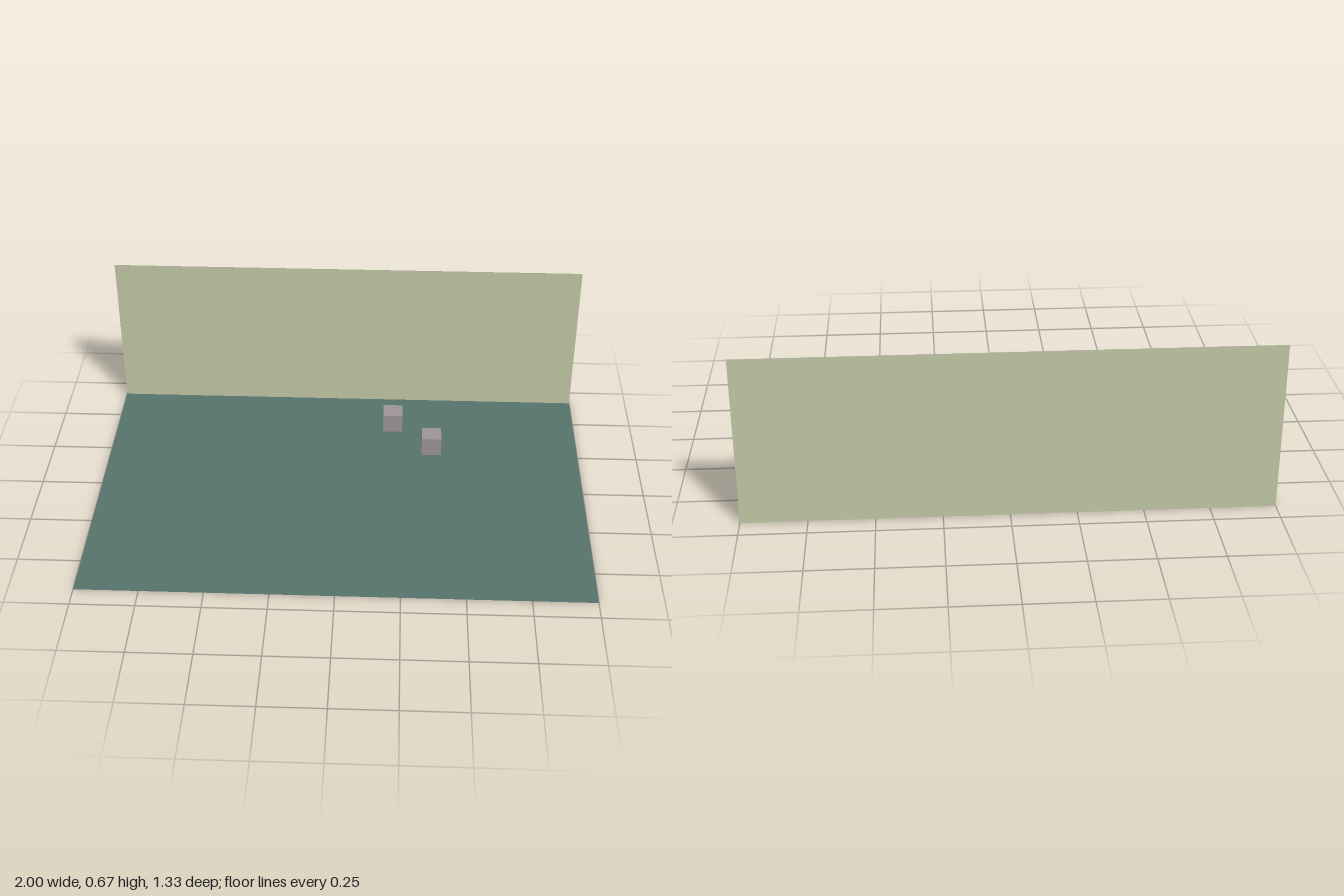
import * as THREE from 'three';

const WIDTH = 2, DEPTH = 4 / 3, HEIGHT = 2 / 3, CUBE = 1 / 12;

function material(name, color, side = THREE.FrontSide) {
  const m = new THREE.MeshStandardMaterial({ color, side });
  m.name = name;
  return m;
}

export function createModel() {
  const group = new THREE.Group();
  group.name = 'stage';
  const floorGreen = material('floor green', 0x56736b, THREE.DoubleSide);
  const wallCream = material('wall cream', 0xc3c9a8, THREE.DoubleSide);
  const cubeGrey = material('cube grey', 0x9e9595);

  const add = (name, geometry, mat, x, y, z) => {
    const mesh = new THREE.Mesh(geometry, mat);
    mesh.name = name;
    mesh.position.set(x, y, z);
    group.add(mesh);
  };

  // Flat floor and the upright sheet along its back edge
  add('floor', new THREE.PlaneGeometry(WIDTH, DEPTH).rotateX(-Math.PI / 2), floorGreen, 0, 0, 0);
  add('backWall', new THREE.PlaneGeometry(WIDTH, HEIGHT), wallCream, 0, HEIGHT / 2, -DEPTH / 2);

  // Two small cubes standing on the floor, set diagonally
  const cube = new THREE.BoxGeometry(CUBE, CUBE, CUBE);
  add('backCube', cube, cubeGrey, 2.5 * CUBE, CUBE / 2, -5.5 * CUBE);
  add('frontCube', cube, cubeGrey, 4.5 * CUBE, CUBE / 2, -3.5 * CUBE);

  return group;
}
